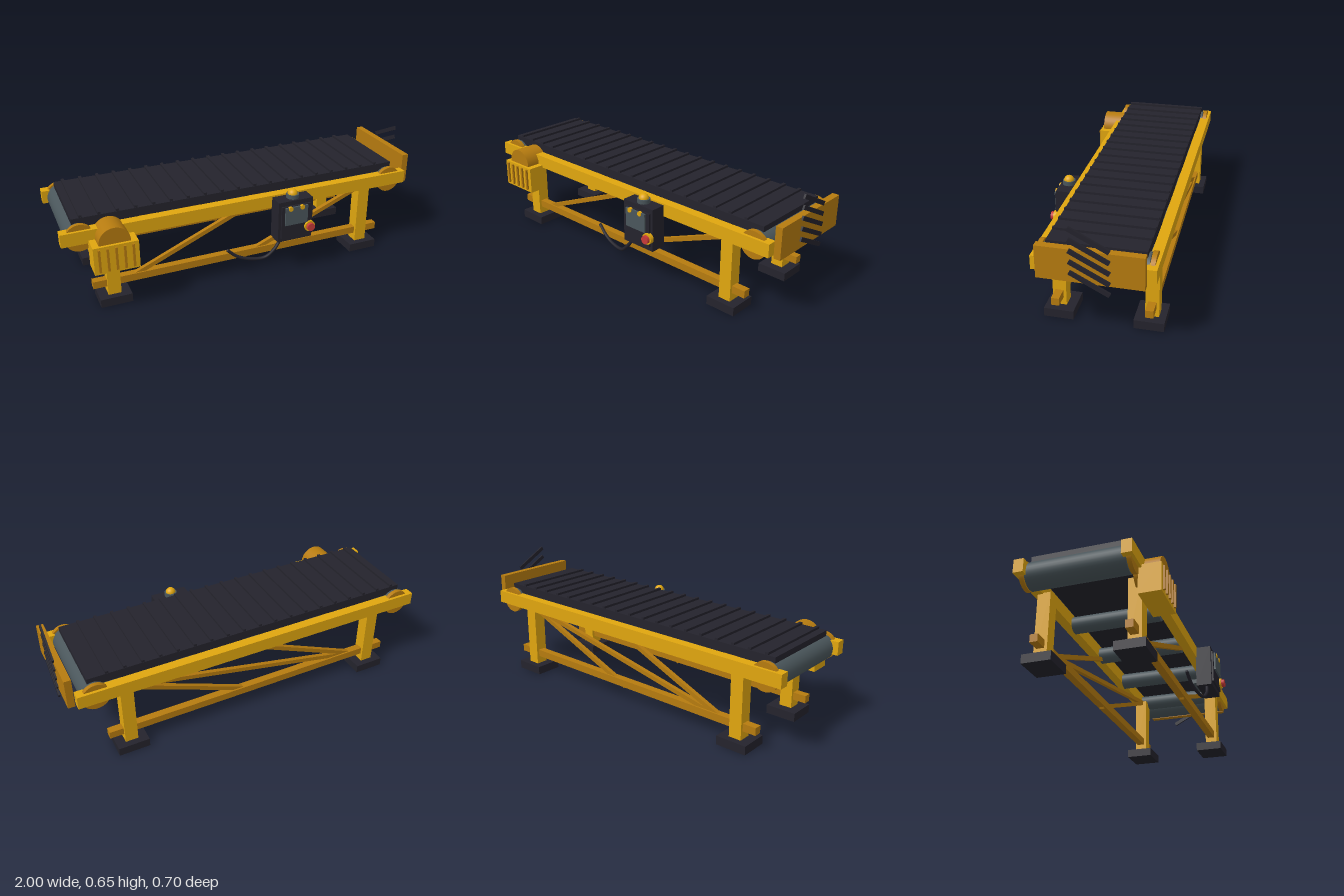
import * as THREE from 'three';

const material = (name, color) => {
  const m = new THREE.MeshStandardMaterial({ color });
  m.name = name;
  return m;
};

export function createModel() {
  const yellow = material('safety yellow', 0xe0a60f);
  const ochre = material('dark ochre', 0xb67b0f);
  const rubber = material('black rubber', 0x24232c);
  const steel = material('grey steel', 0x4a565b);
  const red = material('red', 0xc83a38);

  const model = new THREE.Group();
  model.name = 'conveyor';
  const MID = -0.053; // centre line of the belt in z

  const add = (name, geometry, mat, x = 0, y = 0, z = 0) => {
    const mesh = new THREE.Mesh(geometry, mat);
    mesh.name = name;
    mesh.position.set(x, y, z);
    model.add(mesh);
    return mesh;
  };
  // Box given by its limits on each axis
  const box = (name, mat, x0, x1, y0, y1, z0, z1) =>
    add(name, new THREE.BoxGeometry(x1 - x0, y1 - y0, z1 - z0), mat,
      (x0 + x1) / 2, (y0 + y1) / 2, (z0 + z1) / 2);
  // Cylinder lying along z
  const drum = (name, mat, r, x, y, z0, z1, sides = 32) =>
    add(name, new THREE.CylinderGeometry(r, r, z1 - z0, sides).rotateX(Math.PI / 2), mat,
      x, y, (z0 + z1) / 2);
  // Square bar between two points in a plane of constant z
  const bar = (name, x0, y0, x1, y1, z, t) => {
    const mesh = add(name, new THREE.BoxGeometry(Math.hypot(x1 - x0, y1 - y0), t, t), ochre,
      (x0 + x1) / 2, (y0 + y1) / 2, z);
    mesh.rotation.z = Math.atan2(y1 - y0, x1 - x0);
  };

  // Frame, mirrored about the belt's centre line
  for (const s of [1, -1]) {
    const side = s > 0 ? 'front' : 'back';
    const span = (name, mat, x0, x1, y0, y1, a, b) => {
      const z0 = MID + s * a, z1 = MID + s * b;
      box(side + name, mat, x0, x1, y0, y1, Math.min(z0, z1), Math.max(z0, z1));
    };
    span('SideRail', yellow, -1, 0.95, 0.38, 0.45, 0.235, 0.286);
    span('LowerRail', ochre, -0.86, 0.81, 0.09, 0.13, 0.209, 0.249);
    for (const x of [-0.755, 0.702]) {
      span('Leg', yellow, x - 0.034, x + 0.034, 0.045, 0.385, 0.195, 0.263);
      span('Foot', rubber, x - 0.083, x + 0.083, 0, 0.046, 0.148, 0.297);
    }
    // Diagonal braces
    const z = MID + s * 0.229;
    bar(side + 'BraceLeft', -0.66, 0.108, 0, 0.39, z, 0.023);
    bar(side + 'BraceRight', -0.02, 0.09, 0.7, 0.385, z, 0.023);
    if (s < 0) bar(side + 'BraceLong', -0.66, 0.108, 0.72, 0.39, z, 0.023);
    // Bearing discs at the end rollers
    for (const x of [-0.905, 0.855]) {
      const c = MID + s * 0.26;
      drum(side + 'Bearing', ochre, 0.072, x, 0.408, c - 0.011, c + 0.011);
    }
  }

  // Rollers
  for (const x of [-0.905, 0.855])
    drum('endRoller', steel, 0.068, x, 0.405, MID - 0.245, MID + 0.245);
  for (let i = 0; i < 4; i++)
    drum('idlerRoller', steel, 0.045, -0.41 + i * 0.384, 0.4, MID - 0.235, MID + 0.235, 24);

  // Belt with raised cleats
  box('belt', rubber, -0.932, 0.882, 0.45, 0.497, MID - 0.233, MID + 0.233);
  for (let i = 0; i < 19; i++) {
    const x = -0.885 + i * 0.0925;
    box('beltCleat', rubber, x - 0.008, x + 0.008, 0.495, 0.509, MID - 0.231, MID + 0.231);
  }

  // End plate with slanted slats
  box('endPlate', ochre, 0.954, 0.99, 0.367, 0.531, MID - 0.243, MID + 0.249);
  for (let i = 0; i < 5; i++) {
    const slat = add('slat', new THREE.BoxGeometry(0.01, 0.022, 0.205), rubber,
      0.994, 0.589 - i * 0.0543, -0.051);
    slat.rotation.x = -0.483;
  }

  // Drive motor and finned gearbox
  drum('motor', ochre, 0.08, -0.755, 0.4, 0.18, 0.31);
  box('gearbox', yellow, -0.867, -0.64, 0.247, 0.395, 0.215, 0.325);
  for (let i = 0; i < 5; i++) {
    const x = -0.84 + i * 0.0425;
    box('gearboxFin', ochre, x - 0.006, x + 0.006, 0.262, 0.385, 0.324, 0.336);
  }

  // Control box
  box('controlBox', rubber, 0.117, 0.318, 0.208, 0.441, 0.228, 0.314);
  box('controlBoxDoor', rubber, 0.132, 0.303, 0.232, 0.416, 0.314, 0.324);
  box('controlBracket', steel, 0.15, 0.285, 0.238, 0.262, 0.19, 0.229);
  box('controlPanel', steel, 0.15, 0.28, 0.31, 0.412, 0.324, 0.334);
  for (const x of [0.178, 0.246])
    drum('controlKnob', yellow, 0.013, x, 0.405, 0.324, 0.338, 16);
  drum('stopButtonRing', yellow, 0.03, 0.296, 0.281, 0.314, 0.335, 24);
  drum('stopButton', red, 0.022, 0.296, 0.281, 0.335, 0.351, 24);

  // Warning beacon
  add('beaconBase', new THREE.CylinderGeometry(0.034, 0.034, 0.022, 24), steel, 0.217, 0.452, 0.271);
  add('beaconDome', new THREE.SphereGeometry(0.027, 24, 12, 0, Math.PI * 2, 0, Math.PI / 2),
    yellow, 0.217, 0.462, 0.271);

  // Hanging cable
  const path = new THREE.CatmullRomCurve3([
    [0.155, 0.215, 0.278], [0.11, 0.155, 0.286], [0.06, 0.113, 0.278],
    [-0.02, 0.112, 0.264], [-0.09, 0.135, 0.25], [-0.142, 0.178, 0.242],
  ].map(p => new THREE.Vector3(...p)));
  add('cable', new THREE.TubeGeometry(path, 32, 0.009, 8), rubber);
  for (const t of [0, 1]) {
    const p = path.getPoint(t);
    add('cableEnd', new THREE.SphereGeometry(0.009, 8, 6), rubber, p.x, p.y, p.z);
  }

  return model;
}
